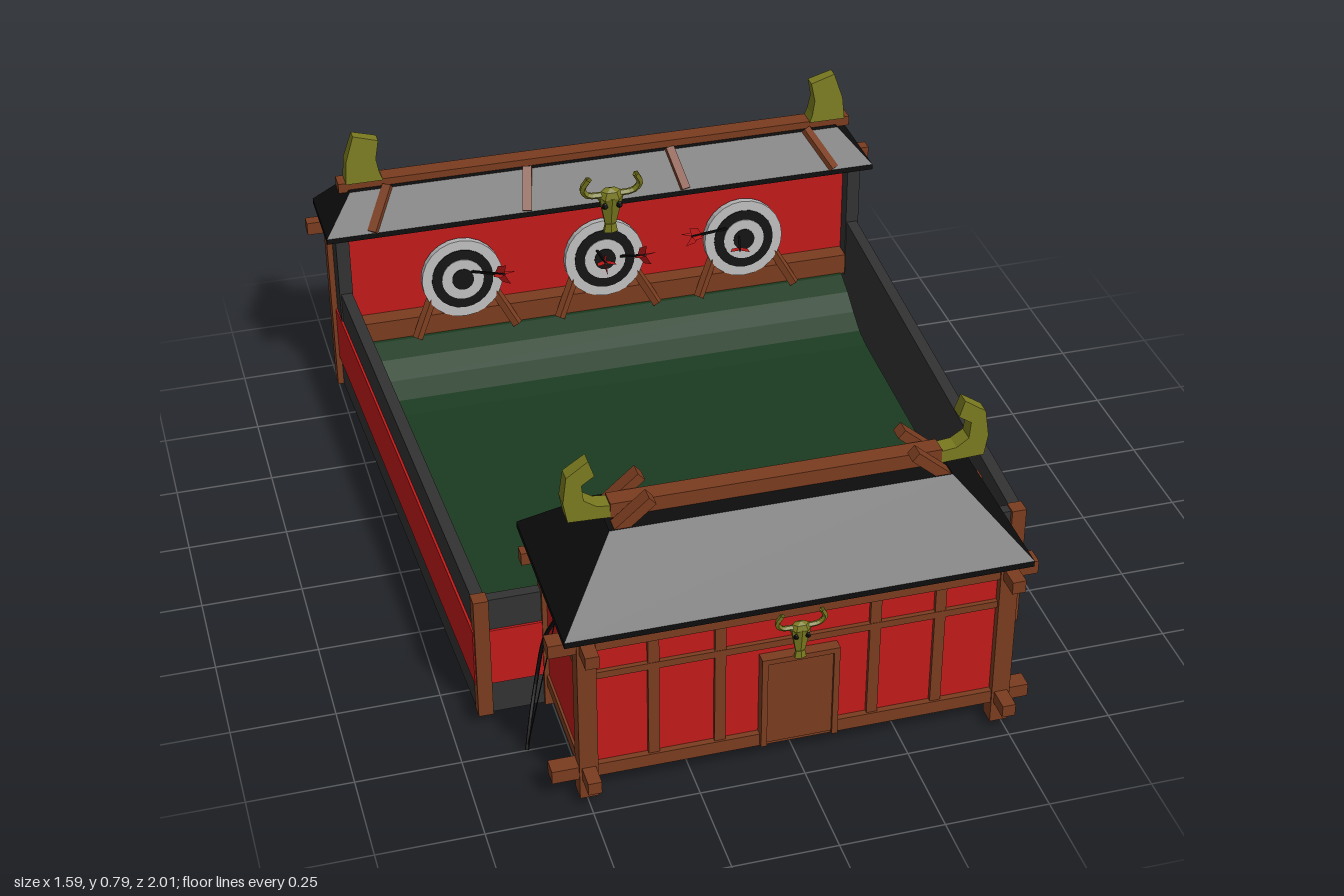
import * as THREE from 'three';

const mat = (color) => new THREE.MeshStandardMaterial({ color, flatShading: true, side: THREE.DoubleSide });

export function createModel() {
  const red = mat(0xc41a1a), wood = mat(0x7a3c1f), grey = mat(0x323232), black = mat(0x0d0d0d);
  const grass = mat(0x1b3a20), horn = mat(0x7a7a20), white = mat(0xb8b8b8);
  const root = new THREE.Group();

  const add = (name, geo, m, parent = root) => {
    const mesh = new THREE.Mesh(geo, m);
    mesh.name = name;
    parent.add(mesh);
    return mesh;
  };
  const group = (name, parent = root) => {
    const g = new THREE.Group();
    g.name = name;
    parent.add(g);
    return g;
  };
  // Box given by its extents
  const box = (name, m, x0, x1, y0, y1, z0, z1, parent = root) => {
    const b = add(name, new THREE.BoxGeometry(x1 - x0, y1 - y0, z1 - z0), m, parent);
    b.position.set((x0 + x1) / 2, (y0 + y1) / 2, (z0 + z1) / 2);
    return b;
  };
  // Box running from point a to point b
  const beam = (name, m, a, b, w, h, parent = root) => {
    const p = new THREE.Vector3(...a), q = new THREE.Vector3(...b);
    const mesh = add(name, new THREE.BoxGeometry(w, h, p.distanceTo(q)), m, parent);
    mesh.position.copy(p).add(q).multiplyScalar(0.5);
    mesh.lookAt(q);
    return mesh;
  };
  // Hipped roof: eaves slab with a truncated pyramid on it
  const roof = (name, cx, cz, hx, hz, tx, tz, y0, y1) => {
    const g = group(name);
    box('eaves', black, cx - hx, cx + hx, y0, y0 + 0.015, cz - hz, cz + hz, g);
    const geo = new THREE.BoxGeometry(2, y1 - y0 - 0.015, 2), p = geo.attributes.position;
    for (let i = 0; i < p.count; i++) {
      const top = p.getY(i) > 0;
      p.setX(i, p.getX(i) * (top ? tx : hx));
      p.setZ(i, p.getZ(i) * (top ? tz : hz));
    }
    geo.computeVertexNormals();
    add('slopes', geo, black, g).position.set(cx, (y0 + 0.015 + y1) / 2, cz);
  };
  // Flat-sided horn: outline for the +x side, thinner towards its tip
  const hornPair = (name, pts, z, y0, y1, base, tip) => {
    for (const s of [-1, 1]) {
      const shape = new THREE.Shape(pts.map(([x, y]) => new THREE.Vector2(s * x, y)));
      const geo = new THREE.ExtrudeGeometry(shape, { depth: 1, bevelEnabled: false });
      const p = geo.attributes.position;
      for (let i = 0; i < p.count; i++) {
        const t = (p.getY(i) - y0) / (y1 - y0);
        p.setZ(i, (p.getZ(i) - 0.5) * (base + (tip - base) * t));
      }
      geo.computeVertexNormals();
      add(name, geo, horn).position.z = z;
    }
  };
  // Horned animal skull, one unit tall, standing on its snout
  const skull = (x, y, z, size) => {
    const g = group('skull');
    const head = add('skullHead', new THREE.CylinderGeometry(0.2, 0.09, 0.5, 6), horn, g);
    head.position.set(0, 0.36, 0);
    head.scale.z = 0.6;
    const brow = add('brow', new THREE.SphereGeometry(0.21, 6, 4), horn, g);
    brow.position.y = 0.6;
    brow.scale.set(1, 0.7, 0.6);
    const snout = add('snout', new THREE.CylinderGeometry(0.09, 0.12, 0.14, 6), horn, g);
    snout.position.set(0, 0.07, 0.02);
    snout.scale.z = 0.6;
    for (const s of [-1, 1]) {
      const path = new THREE.CatmullRomCurve3([[0.12, 0.64, 0], [0.34, 0.66, 0], [0.43, 0.8, 0.03], [0.35, 1, 0.08]]
        .map(([a, b, c]) => new THREE.Vector3(s * a, b, c)));
      add('skullHorn', new THREE.TubeGeometry(path, 8, 0.05, 5), horn, g);
      const eye = add('eyeSocket', new THREE.SphereGeometry(0.05, 5, 4), black, g);
      eye.position.set(s * 0.11, 0.5, 0.1);
    }
    g.position.set(x, y, z);
    g.scale.setScalar(size);
    return g;
  };

  // Shooting ground, rising towards the targets
  const ground = new THREE.PlaneGeometry(2, 1.44, 1, 24).rotateX(-Math.PI / 2);
  const gp = ground.attributes.position;
  for (let i = 0; i < gp.count; i++) {
    const z = gp.getZ(i) - 0.15;
    gp.setXYZ(i, gp.getX(i) * (0.69 - 0.04 * (z + 0.87) / 1.44), 0.085 + 0.09 * THREE.MathUtils.smoothstep(-z, 0.58, 0.84), z);
  }
  ground.computeVertexNormals();
  add('grass', ground, grass);

  // Yard walls with a red band, and their corner posts
  for (const s of [-1, 1]) {
    beam('sideWall', grey, [s * 0.66, 0.165, 0.59], [s * 0.722, 0.165, -0.9], 0.03, 0.33);
    beam('sideBand', red, [s * 0.67, 0.167, 0.59], [s * 0.732, 0.167, -0.9], 0.022, 0.155);
    const [a, b] = s < 0 ? [-0.66, -0.49] : [0.49, 0.66];
    box('frontWall', grey, a, b, 0, 0.33, 0.565, 0.592);
    box('frontBand', red, a, b, 0.09, 0.245, 0.575, 0.598);
    box('yardPost', wood, s * 0.66 - 0.018, s * 0.66 + 0.018, 0, 0.335, 0.565, 0.602);
    box('backPost', wood, s * 0.735 - 0.018, s * 0.735 + 0.018, 0, 0.53, -0.94, -0.9);
    box('backSideBeam', wood, s * 0.735 - 0.014, s * 0.735 + 0.014, 0.475, 0.505, -1, -0.89);
    box('backReturn', grey, s * 0.72 - 0.018, s * 0.72 + 0.018, 0.16, 0.535, -0.91, -0.83);
  }
  box('frontFooting', grey, -0.66, 0.66, 0, 0.06, 0.565, 0.592);
  box('doorSill', wood, -0.49, 0.49, 0.06, 0.1, 0.56, 0.6);

  // Target wall
  box('backWall', grey, -0.735, 0.735, 0, 0.535, -0.915, -0.885);
  box('backBand', red, -0.735, 0.735, 0.09, 0.245, -0.922, -0.89);
  box('targetPanel', red, -0.705, 0.705, 0.15, 0.535, -0.887, -0.872);
  box('backBeam', wood, -0.8, 0.79, 0.48, 0.515, -0.945, -0.912);
  beam('targetBench', wood, [-0.7, 0.2, -0.845], [0.7, 0.2, -0.845], 0.05, 0.06);
  roof('backRoof', -0.008, -0.885, 0.76, 0.115, 0.68, 0.04, 0.525, 0.63);
  box('backRidge', wood, -0.715, 0.71, 0.623, 0.65, -0.908, -0.86);
  for (const [low, high] of [[-0.645, -0.585], [-0.225, -0.205], [0.215, 0.19], [0.64, 0.58]]) {
    for (const s of [-1, 1]) {
      beam('roofBatten', wood, [low, 0.542, -0.885 + s * 0.112], [high, 0.634, -0.885 + s * 0.035], 0.025, 0.018);
    }
  }
  hornPair('backHorn', [[0.595, 0.648], [0.695, 0.648], [0.69, 0.71], [0.666, 0.782], [0.6, 0.762], [0.61, 0.71], [0.603, 0.67]],
    -0.882, 0.648, 0.78, 0.052, 0.03);
  skull(0, 0.455, -0.762, 0.185).rotation.x = 0.1;

  // Round targets with leaning legs
  for (const x of [-0.4, 0, 0.4]) {
    const g = group('target');
    [[0.112, white], [0.085, black], [0.058, white], [0.03, black]].forEach(([r, m], i) => {
      const ring = add('targetRing', new THREE.CylinderGeometry(r, r, 0.022 + i * 0.005, 24), m, g);
      ring.rotation.x = Math.PI / 2;
    });
    for (const s of [-1, 1]) {
      beam('targetLeg', wood, [s * 0.06, 0, -0.02], [s * 0.14, -0.15, 0.03], 0.02, 0.02, g);
    }
    g.position.set(x, 0.325, -0.84);
    g.rotation.x = -0.12;
  }

  // Arrows stuck in the targets: tail point, then tip
  const arrows = [
    [[-0.31, 0.4, -0.7], [-0.38, 0.34, -0.84]], [[-0.035, 0.405, -0.67], [-0.02, 0.35, -0.84]],
    [[0.085, 0.39, -0.71], [0.04, 0.32, -0.84]], [[0.225, 0.41, -0.74], [0.36, 0.36, -0.84]],
    [[0.34, 0.39, -0.665], [0.39, 0.33, -0.84]],
  ];
  for (const [tail, tip] of arrows) {
    const g = group('arrow');
    const a = new THREE.Vector3(...tail), length = a.distanceTo(new THREE.Vector3(...tip));
    box('shaft', black, -0.003, 0.003, -0.003, 0.003, 0, length, g);
    const fin = new THREE.Shape([[0, 0.045], [0.022, 0.02], [0.026, -0.02], [0, 0], [-0.026, -0.02], [-0.022, 0.02]]
      .map(([x, y]) => new THREE.Vector2(x, y)));
    for (let i = 0; i < 2; i++) {
      add('fletching', new THREE.ShapeGeometry(fin).rotateX(Math.PI / 2).rotateZ(i * Math.PI / 2), red, g);
    }
    g.position.copy(a);
    g.lookAt(...tip);
  }

  // Shooting house: raised floor, three walls, open towards the yard
  box('houseFloor', black, -0.49, 0.49, 0.06, 0.08, 0.58, 0.92);
  box('houseFront', red, -0.49, 0.49, 0.06, 0.465, 0.905, 0.925);
  for (const s of [-1, 1]) {
    const x = s * 0.495;
    box('houseSide', red, x - 0.01, x + 0.01, 0.06, 0.465, 0.58, 0.92);
    for (const z of [0.922, 0.58]) box('housePost', wood, x - 0.022, x + 0.022, 0, 0.465, z - 0.022, z + 0.022);
    for (const y of [0.072, 0.432]) box('sideBeam', wood, x - 0.016, x + 0.016, y - 0.016, y + 0.016, 0.54, 1);
    box('sideRail', wood, x - 0.015, x + 0.015, 0.335, 0.352, 0.58, 0.92);
  }
  for (const y of [0.072, 0.432]) box('frontBeam', wood, -0.58, 0.565, y - 0.017, y + 0.017, 0.897, 0.94);
  box('rearBeam', wood, -0.56, 0.56, 0.416, 0.448, 0.565, 0.595);
  box('frontRail', wood, -0.49, 0.49, 0.332, 0.35, 0.91, 0.936);
  for (const x of [-0.34, -0.185, 0.18, 0.335]) box('frontStud', wood, x - 0.013, x + 0.013, 0.08, 0.43, 0.91, 0.935);
  box('door', wood, -0.08, 0.08, 0.065, 0.3, 0.92, 0.945);
  for (const s of [-1, 1]) box('doorJamb', wood, s * 0.085 - 0.007, s * 0.085 + 0.007, 0.06, 0.31, 0.92, 0.952);
  box('doorLintel', wood, -0.092, 0.092, 0.297, 0.311, 0.92, 0.952);
  skull(-0.005, 0.31, 0.952, 0.13);

  // House roof with its ridge, crossed timbers and horns
  roof('houseRoof', -0.005, 0.74, 0.545, 0.232, 0.4, 0.07, 0.462, 0.635);
  box('houseRidge', wood, -0.39, 0.385, 0.632, 0.672, 0.718, 0.763);
  for (const s of [-1, 1]) {
    for (const z of [0.695, 0.79]) {
      beam('crossTimber', wood, [s * 0.385, 0.625, z], [s * 0.305, 0.695, z], 0.036, 0.025);
    }
  }
  hornPair('houseHorn', [[0.385, 0.636], [0.487, 0.64], [0.496, 0.69], [0.487, 0.755], [0.436, 0.79], [0.423, 0.75], [0.453, 0.73],
    [0.449, 0.69], [0.42, 0.67], [0.385, 0.666]], 0.74, 0.636, 0.79, 0.045, 0.032);

  // Bow leaning on the house
  const bow = new THREE.CatmullRomCurve3([[-0.6, 0.02, 0.77], [-0.585, 0.08, 0.745], [-0.555, 0.18, 0.7], [-0.535, 0.28, 0.7], [-0.515, 0.35, 0.73]]
    .map((p) => new THREE.Vector3(...p)));
  add('bow', new THREE.TubeGeometry(bow, 14, 0.005, 5), black);
  beam('bowString', black, [-0.6, 0.02, 0.77], [-0.515, 0.35, 0.73], 0.002, 0.002);

  return root;
}
